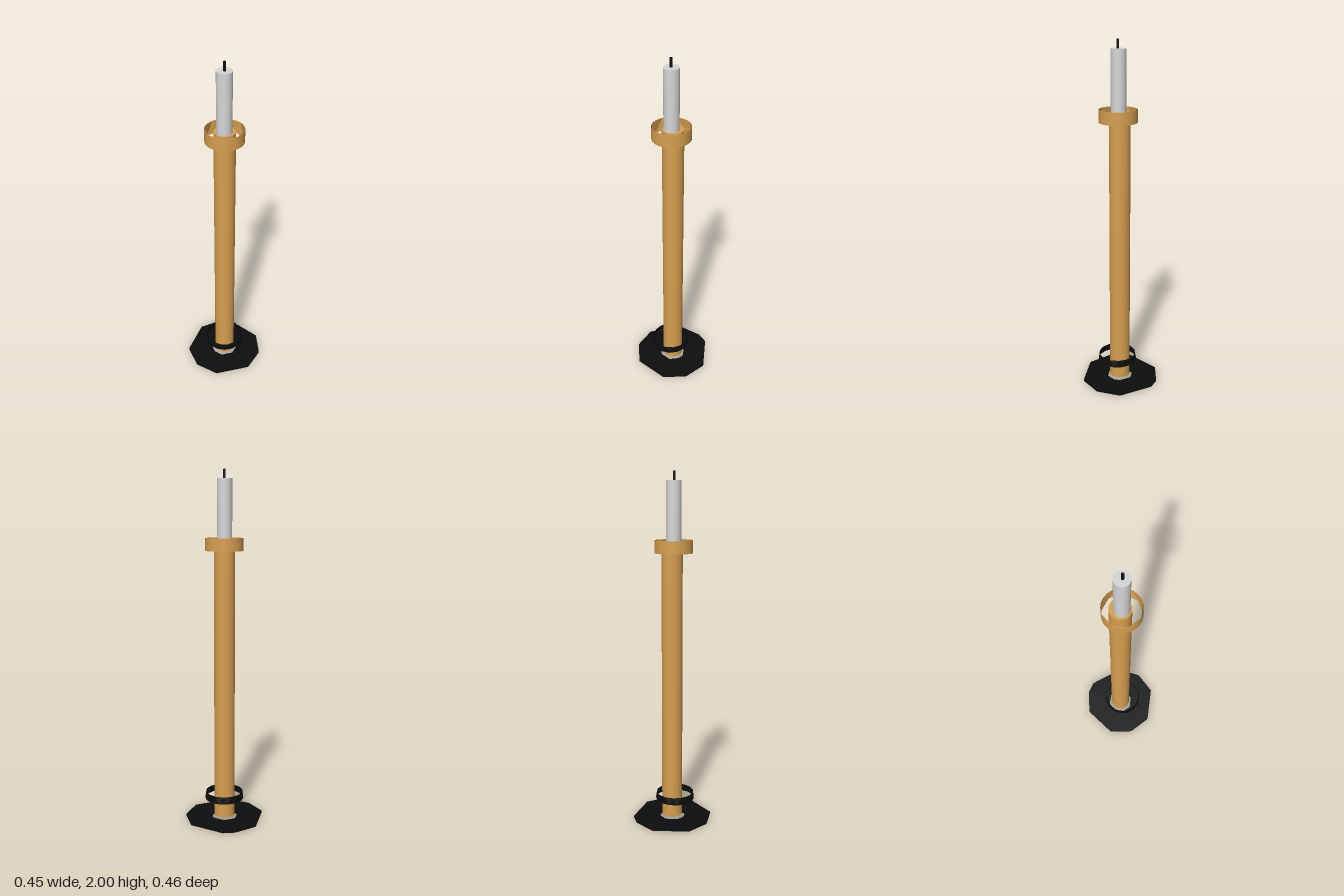
import * as THREE from 'three';

const mat = (name, color) => {
  const m = new THREE.MeshStandardMaterial({ color, side: THREE.DoubleSide });
  m.name = name;
  return m;
};

// Upright cylinder between two heights
function rod(name, material, r, y0, y1, x, z, sides = 40, open = false) {
  const geo = new THREE.CylinderGeometry(r, r, y1 - y0, sides, 1, open);
  const mesh = new THREE.Mesh(geo, material);
  mesh.name = name;
  mesh.position.set(x, (y0 + y1) / 2, z);
  return mesh;
}

// Faceted open band: lower rim is turned half a side, giving slanted triangles
function facetedBand(name, material, rTop, rBottom, y0, y1, x, z, sides) {
  const h = y1 - y0;
  const geo = new THREE.CylinderGeometry(rTop, rBottom, h, sides, 1, true);
  const p = geo.attributes.position;
  const turn = Math.PI / sides;
  for (let i = 0; i < p.count; i++) {
    if (p.getY(i) > 0) continue;
    const a = Math.atan2(p.getX(i), p.getZ(i)) + turn;
    p.setXYZ(i, Math.sin(a) * rBottom, -h / 2, Math.cos(a) * rBottom);
  }
  const flat = geo.toNonIndexed();
  flat.computeVertexNormals();
  const mesh = new THREE.Mesh(flat, material);
  mesh.name = name;
  mesh.position.set(x, (y0 + y1) / 2, z);
  return mesh;
}

export function createModel() {
  const model = new THREE.Group();
  model.name = 'candlestick';
  const brass = mat('brass', 0xd69f50);
  const wax = mat('wax', 0xd6d6d6);
  const black = mat('black', 0x0d0d0d);

  // Irregular flat foot with an eight-sided hole, points as [x, z]
  const toPoints = (list) => list.map(([x, z]) => new THREE.Vector2(x, -z));
  const foot = new THREE.Shape(toPoints([
    [-0.005, -0.23], [0.13, -0.192], [0.183, -0.144], [0.224, 0.061], [0.145, 0.179],
    [0.012, 0.227], [-0.176, 0.141], [-0.225, 0.007], [-0.187, -0.128],
  ]));
  foot.holes.push(new THREE.Path(toPoints([
    [0.004, -0.079], [0.064, -0.05], [0.078, 0.02], [0.06, 0.052],
    [0.006, 0.077], [-0.058, 0.048], [-0.074, -0.004], [-0.06, -0.046],
  ])));
  const footGeo = new THREE.ExtrudeGeometry(foot, { depth: 0.01, bevelEnabled: false });
  footGeo.rotateX(-Math.PI / 2);
  const footMesh = new THREE.Mesh(footGeo, black);
  footMesh.name = 'foot';
  model.add(footMesh);

  // Post, candle and wick
  model.add(rod('post', brass, 0.059, 0.02, 1.61, 0.005, 0));
  model.add(rod('candle', wax, 0.042, 1.61, 1.95, -0.002, 0.005));
  model.add(rod('wick', black, 0.007, 1.95, 2, -0.003, 0.008, 16));

  // Collar: round outside, faceted inside
  const collar = new THREE.Group();
  collar.name = 'collar';
  collar.add(rod('collarOuter', brass, 0.106, 1.56, 1.63, -0.001, 0.007, 40, true));
  collar.add(facetedBand('collarInner', brass, 0.105, 0.105, 1.56, 1.63, -0.001, 0.007, 8));
  model.add(collar);

  // Loose black band near the foot
  model.add(facetedBand('lowerBand', black, 0.108, 0.113, 0.113, 0.155, -0.007, 0.012, 14));
  return model;
}
